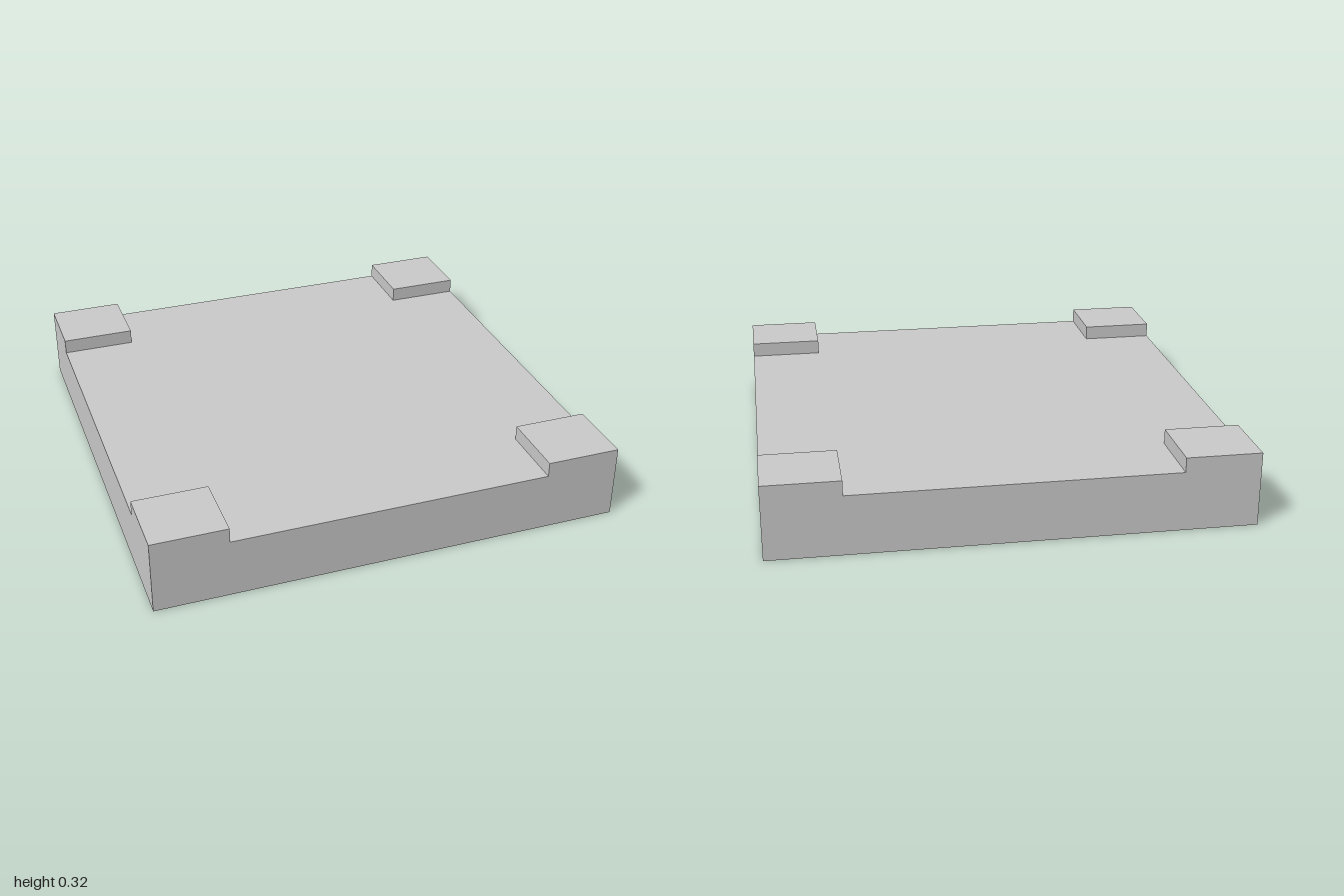
import * as THREE from 'three';

const SIZE = 2, SLAB_HEIGHT = 0.255, TOTAL_HEIGHT = 0.318;
const PAD_WIDTH = 0.318, PAD_DEPTH = 0.303;

export function createModel() {
  const group = new THREE.Group();
  group.name = 'cornerPaddedSlab';
  const material = new THREE.MeshStandardMaterial({ color: 0xcccccc, flatShading: true });

  // Box placed by the centre of its base
  function addBox(name, w, h, d, x, y, z) {
    const mesh = new THREE.Mesh(new THREE.BoxGeometry(w, h, d), material);
    mesh.name = name;
    mesh.position.set(x, y + h / 2, z);
    group.add(mesh);
  }

  // Square base slab
  addBox('slab', SIZE, SLAB_HEIGHT, SIZE, 0, 0, 0);

  // Raised pads, flush with the slab's four corners
  for (const [side, sx] of [['Left', 1], ['Right', -1]]) {
    for (const [end, sz] of [['front', 1], ['back', -1]]) {
      addBox(`${end}${side}Pad`, PAD_WIDTH, TOTAL_HEIGHT - SLAB_HEIGHT, PAD_DEPTH,
        sx * (SIZE - PAD_WIDTH) / 2, SLAB_HEIGHT, sz * (SIZE - PAD_DEPTH) / 2);
    }
  }
  return group;
}
